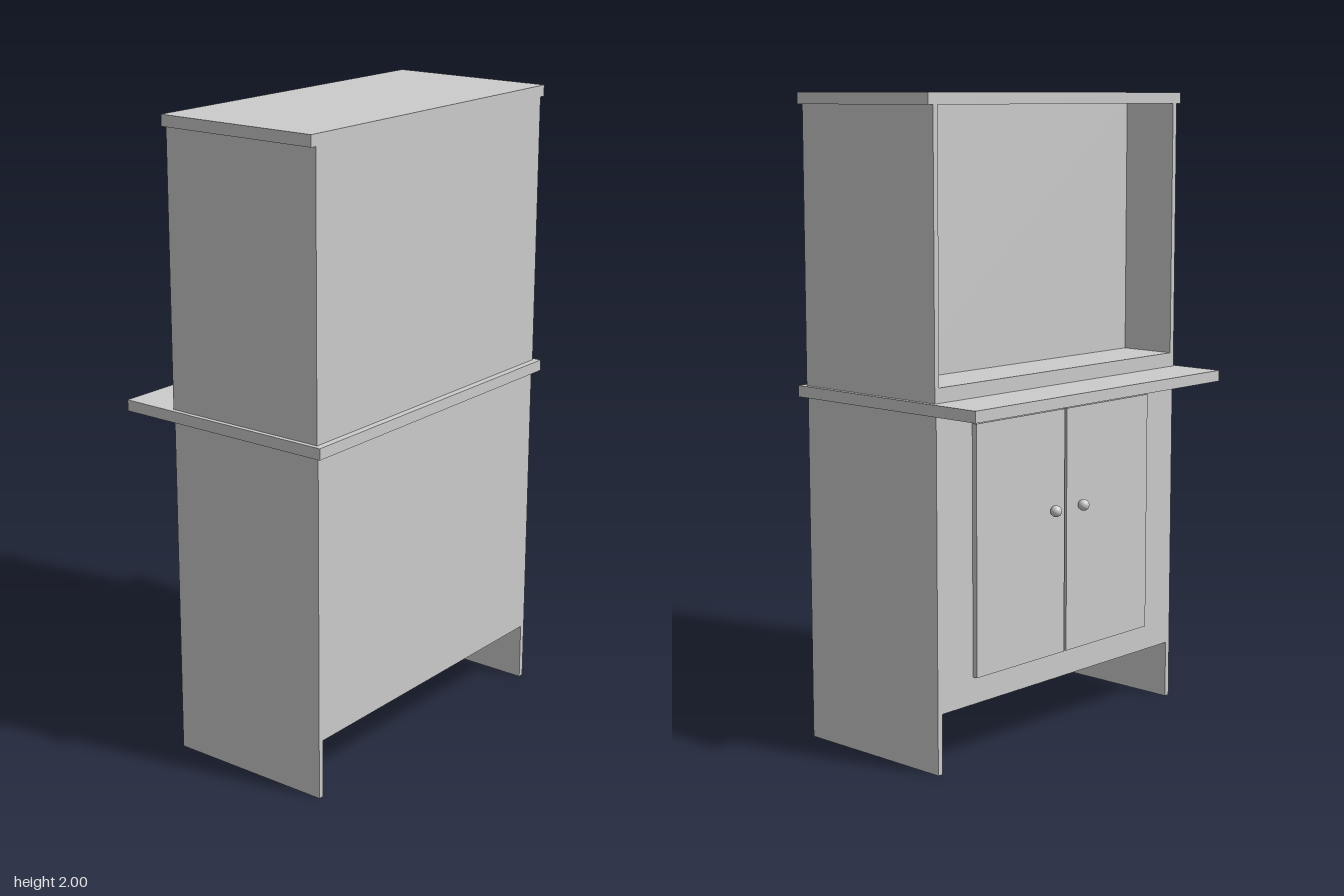
import * as THREE from 'three';

const material = new THREE.MeshStandardMaterial({ color: 0xcccccc });

// Box given by its lower and upper limits on each axis
function board(name, [x0, x1], [y0, y1], [z0, z1]) {
  const geometry = new THREE.BoxGeometry(x1 - x0, y1 - y0, z1 - z0);
  const mesh = new THREE.Mesh(geometry, material);
  mesh.name = name;
  mesh.position.set((x0 + x1) / 2, (y0 + y1) / 2, (z0 + z1) / 2);
  return mesh;
}

export function createModel() {
  const cabinet = new THREE.Group();
  cabinet.name = 'cabinet';

  const depth = [-0.2, 0.35]; // the doors and the open shelf face -x
  const thick = 0.018;
  const lowerHalf = 0.55, upperHalf = 0.555;

  // Lower cupboard between its side panels
  const lower = new THREE.Group();
  lower.name = 'lowerCupboard';
  const lowerIn = lowerHalf - thick;
  lower.add(board('cupboardBody', depth, [0.185, 1.08], [-lowerIn, lowerIn]));

  // Upper hutch: shallow open niche with a solid rear
  const upper = new THREE.Group();
  upper.name = 'upperHutch';
  const upperIn = upperHalf - thick;
  const nicheBack = -0.01;
  upper.add(
    board('nicheFloor', [depth[0], nicheBack], [1.115, 1.16], [-upperIn, upperIn]),
    board('hutchBack', [nicheBack, depth[1]], [1.115, 1.965], [-upperIn, upperIn]),
    board('topBoard', depth, [1.965, 2], [-0.575, 0.575])
  );

  // Mirrored side panels, doors and knobs
  for (const s of [-1, 1]) {
    const span = (a, b) => (s > 0 ? [a, b] : [-b, -a]);
    lower.add(board('lowerSide', depth, [0, 1.08], span(lowerIn, lowerHalf)));
    upper.add(board('upperSide', depth, [1.115, 1.965], span(upperIn, upperHalf)));
    lower.add(board('door', [-0.217, -0.2], [0.27, 1.04], span(0.005, 0.4)));

    const knob = new THREE.Mesh(new THREE.SphereGeometry(0.018, 24, 16), material);
    knob.name = 'doorKnob';
    knob.position.set(-0.235, 0.73, s * 0.065);
    lower.add(knob);
  }

  // Overhanging worktop between the two halves
  const worktop = board('worktop', [-0.375, 0.372], [1.08, 1.115], [-0.57, 0.57]);

  cabinet.add(lower, worktop, upper);
  return cabinet;
}
